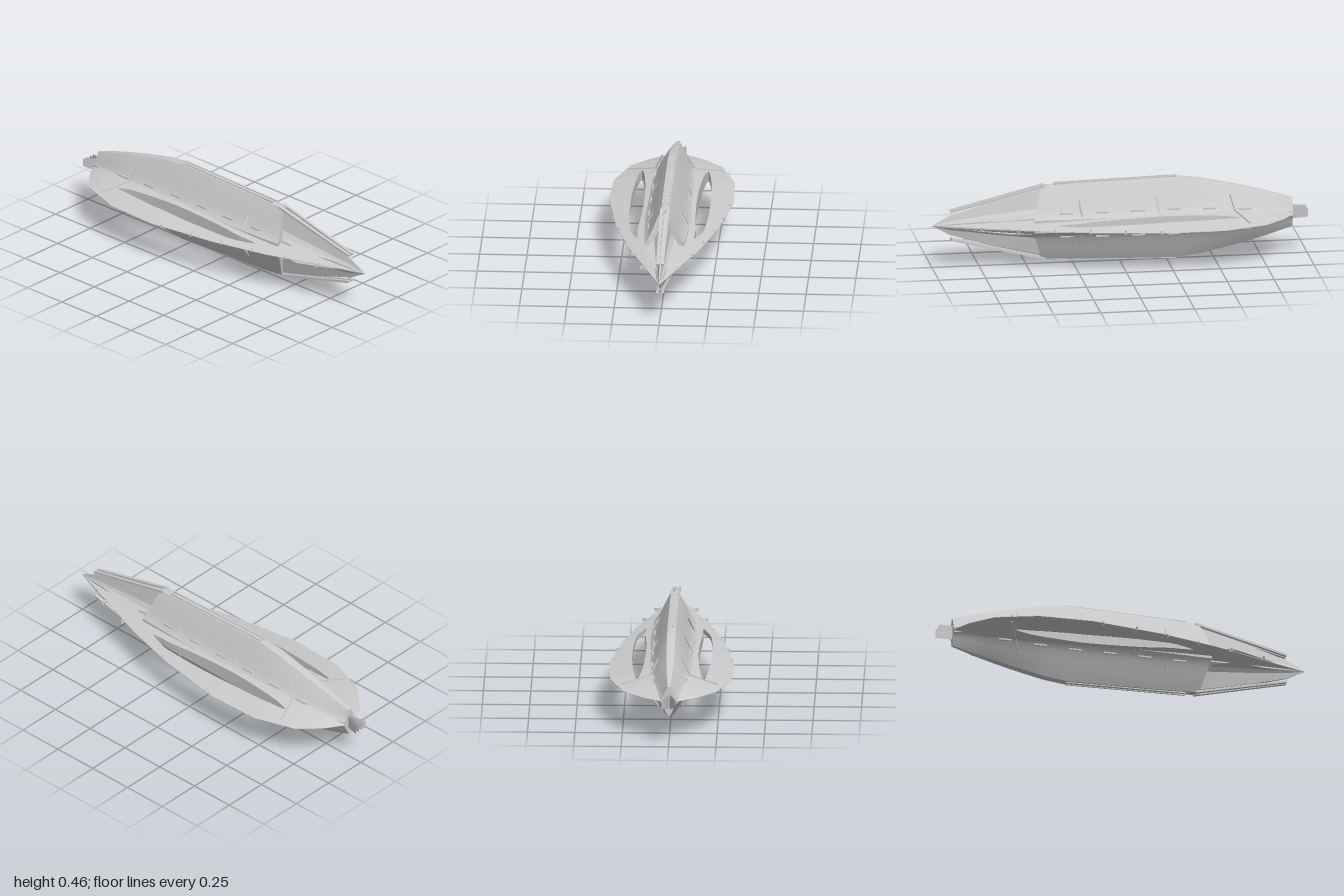
import * as THREE from 'three';
import { toCreasedNormals } from 'three/addons/utils/BufferGeometryUtils.js';

const MID = 0.228;
const material = new THREE.MeshStandardMaterial({ color: 0xcccccc, side: THREE.DoubleSide });

// Piecewise linear profile over descending z: [[z, value], ...]
function profile(keys, z) {
  if (z >= keys[0][0]) return keys[0][1];
  for (let i = 1; i < keys.length; i++) {
    const [z0, a] = keys[i - 1], [z1, b] = keys[i];
    if (z >= z1) return a + (b - a) * (z0 - z) / (z0 - z1);
  }
  return keys[keys.length - 1][1];
}

// Skin over closed cross-sections, counter-clockwise from the front, ordered nose to tail
function loft(sections, crease = 0.5) {
  const n = sections[0].length, pos = [], index = [];
  sections.forEach(s => s.forEach(p => pos.push(...p)));
  for (let i = 0; i < sections.length - 1; i++) {
    for (let j = 0; j < n; j++) {
      const k = (j + 1) % n, a = i * n + j, b = i * n + k, c = b + n, d = a + n;
      index.push(a, d, c, a, c, b);
    }
  }
  const last = (sections.length - 1) * n;
  const centre = s => [0, 1, 2].map(c => s.reduce((sum, p) => sum + p[c], 0) / n);
  const f = pos.length / 3;
  pos.push(...centre(sections[0]), ...centre(sections[sections.length - 1]));
  for (let j = 0; j < n; j++) {
    const k = (j + 1) % n;
    index.push(f, j, k, f + 1, last + k, last + j);
  }
  const g = new THREE.BufferGeometry();
  g.setAttribute('position', new THREE.Float32BufferAttribute(pos, 3));
  g.setIndex(index);
  return toCreasedNormals(g, crease);
}

const quarterLoop = q => {
  // Mirror a quarter outline (top to side) into a full loop
  const flip = (sx, sy) => q.map(([x, y, z]) => [x * sx, y * sy, z]);
  return [...flip(1, -1), ...flip(1, 1).reverse(), ...flip(-1, 1), ...flip(-1, -1).reverse()];
};

// Thin flat polygon
function plate(points) {
  const pos = [];
  for (let i = 1; i < points.length - 1; i++) pos.push(...points[0], ...points[i], ...points[i + 1]);
  const g = new THREE.BufferGeometry();
  g.setAttribute('position', new THREE.Float32BufferAttribute(pos, 3));
  g.computeVertexNormals();
  return g;
}

// Slim bar between two points
function bar(a, b, w, h) {
  const A = new THREE.Vector3(...a), B = new THREE.Vector3(...b);
  const g = new THREE.BoxGeometry(w, h, A.distanceTo(B));
  const o = new THREE.Object3D();
  o.position.copy(A).add(B).multiplyScalar(0.5);
  o.lookAt(B);
  o.updateMatrix();
  return g.applyMatrix4(o.matrix);
}

const WING = [[1, 0], [0.8, 0.07], [0.46, 0.19], [0.15, 0.27], [-0.24, 0.33], [-0.53, 0.32],
  [-0.75, 0.245], [-0.86, 0.14], [-0.92, 0.05]];
const HEIGHT = [[0.42, 0.2], [0.27, 0.209], [0, 0.216], [-0.3, 0.223], [-0.42, 0.208],
  [-0.6, 0.168], [-0.78, 0.122], [-0.92, 0.08]];
const WIDTH = [[0.42, 0.092], [0.2, 0.105], [-0.5, 0.105], [-0.7, 0.09], [-0.82, 0.062], [-0.92, 0.035]];
const OUTLINE = [[0, 1], [0.21, 0.98], [0.45, 0.77], [0.66, 0.55], [0.84, 0.37], [1, 0.24], [1.15, 0.17]];

export function createModel() {
  const model = new THREE.Group();
  const body = new THREE.Group();
  body.position.y = MID;
  model.add(body);
  const add = (name, geometry) => {
    const m = new THREE.Mesh(geometry, material);
    m.name = name;
    body.add(m);
  };

  // Hull with raked front edge
  const hullZ = [0.42, 0.27, 0.1, -0.1, -0.3, -0.42, -0.5, -0.6, -0.7, -0.78, -0.86, -0.92];
  add('hull', loft(hullZ.map((z, i) => quarterLoop(OUTLINE.map(([u, v]) =>
    [u * profile(WIDTH, z), v * profile(HEIGHT, z), z + (i ? 0 : 0.06 * (1 - v))])))));

  // Four-pointed nose
  const nose = [[1, 0.002, 0.002], [0.9, 0.02, 0.055], [0.7, 0.042, 0.115], [0.4, 0.075, 0.19]];
  add('nose', loft(nose.map(([z, w, h]) => quarterLoop(
    [[0, h, z], [w * 0.2, h * 0.97, z], [w * 0.5, h * 0.45, z], [w, h * 0.2, z]])), 0.2));

  // Wings: strips inside and outside a long pointed slot
  const slot = z => {
    const u = (z + 0.135) / 0.485;
    return Math.abs(u) < 1 ? 0.036 * Math.pow(1 - u * u, 0.7) : 0;
  };
  const zs = WING.map(k => k[0]);
  for (let i = 0; i <= 24; i++) zs.push(-0.135 + 0.485 * Math.cos(Math.PI * i / 24));
  zs.sort((a, b) => b - a);
  for (const s of [1, -1]) {
    const strip = range => loft(zs.map(z => {
      const W = profile(WING, z);
      const mid = Math.min(0.175, W * 0.7);
      const [x0, x1] = range(mid, slot(z), W);
      const t = x => 0.0015 + 0.21 * Math.max(0, W - x);
      const loop = [[x0, -t(x0)], [x1, -t(x1)], [x1, t(x1)], [x0, t(x0)]].map(([x, y]) => [x * s, y, z]);
      return s > 0 ? loop : loop.reverse();
    }), 0.3);
    const side = s > 0 ? 'left' : 'right';
    add(side + 'InnerWing', strip((m, w) => [0, m - w]));
    add(side + 'OuterWing', strip((m, w, W) => [m + w, W]));

    // Small crossed antennae along the wing edge
    for (const [x, z] of [[0.3, -0.18], [0.28, 0.01], [0.235, 0.19], [0.19, 0.37], [0.155, 0.56], [0.1, 0.75]]) {
      for (const v of [1, -1]) {
        add(side + 'EdgeAntenna', bar([s * (x - 0.02), -0.011 * v, z], [s * (x + 0.014), 0.011 * v, z], 0.006, 0.003));
      }
      add(side + 'EdgeAntenna', bar([s * (x - 0.012), 0, z - 0.008], [s * (x + 0.018), 0, z + 0.006], 0.005, 0.014));
    }

    for (const v of [1, -1]) {
      const P = (x, y, z) => [s * x, v * y, z];
      // Cheek fins beside the nose
      add(side + 'NoseFin', plate([P(0.01, 0.02, 0.88), P(0.055, 0.055, 0.45), P(0.1, 0.035, 0.6)]));
      // Ridge strips over the nose and along the keel
      add(side + 'NoseStrip', bar(P(0.012, 0.076, 0.9), P(0.018, 0.198, 0.4), 0.016, 0.012));
      add(side + 'RidgeStrip', bar(P(0.012, 0.206, 0.35), P(0.012, 0.221, -0.3), 0.008, 0.008));
      // Ribs standing off the hull
      for (const z of [0.22, -0.19]) {
        add(side + 'HullRib', plate([P(0.065, 0.135, z + 0.005), P(0.108, 0.065, z - 0.004),
          P(0.115, 0.04, z - 0.01), P(0.085, 0.07, z + 0.01)]));
      }
      // Bent strut from hull to wing
      add(side + 'Strut', bar(P(0.065, 0.13, -0.58), P(0.105, 0.048, -0.6), 0.007, 0.007));
      add(side + 'Strut', bar(P(0.1, 0.05, -0.598), P(0.25, 0.017, -0.66), 0.006, 0.006));
      // Row of panels along the wing root
      for (let i = 0; i < 6; i++) {
        const z = 0.33 - i * 0.19;
        const x = profile(WIDTH, z) * 0.92;
        const y = profile(HEIGHT, z) * 0.3;
        add(side + 'RootPanel', bar(P(x, y, z), P(x, y, z - 0.07), 0.012, 0.008));
      }
    }
  }

  // Splayed tail blades
  for (const x of [-0.038, -0.015, 0.015, 0.038]) {
    add('tailBlade', plate([[0, 0.04, -0.9], [0, -0.04, -0.9], [x, -0.022, -1], [x, 0.022, -1]]));
  }
  // Ridge tips above and below
  for (const v of [1, -1]) {
    for (const x of [-0.008, 0, 0.008]) {
      add('ridgeTip', bar([0, v * 0.212, -0.28], [x, v * 0.226, -0.3], 0.004, 0.004));
    }
  }
  return model;
}
